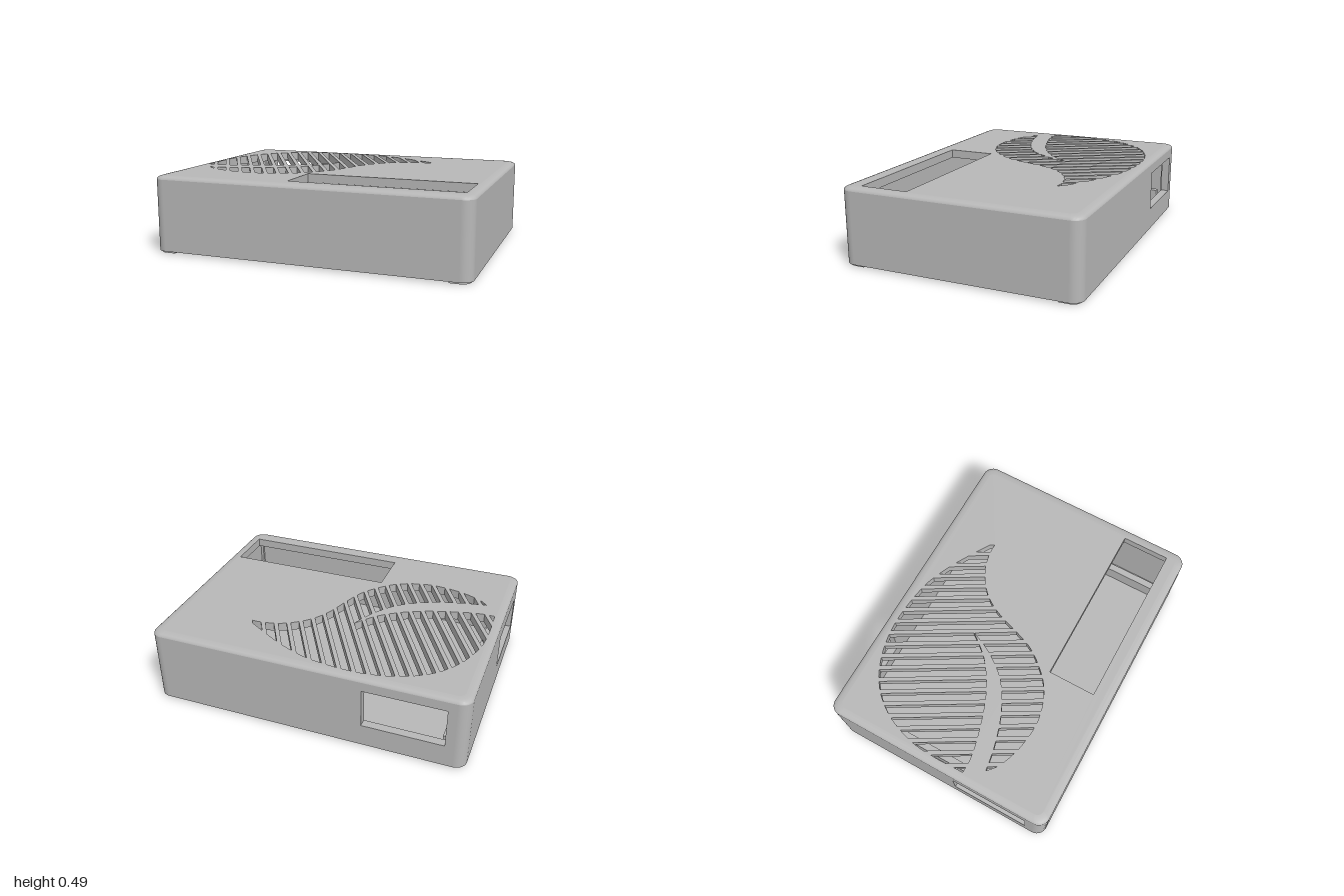
import * as THREE from 'three';
import { toCreasedNormals } from 'three/addons/utils/BufferGeometryUtils.js';

const W = 1, D = 0.75, R = 0.07, WALL = 0.053;   // half width, half depth, corner radius, wall thickness
const Y0 = 0.012, YW = 0.465, YT = 0.487;        // underside, wall top, lid top

export function createModel() {
  const group = new THREE.Group();
  const grey = new THREE.MeshStandardMaterial({ color: 0xb8b8b8 });
  grey.name = 'grey plastic';

  const add = (name, geometry) => {
    const mesh = new THREE.Mesh(toCreasedNormals(geometry, 0.6), grey);
    mesh.name = name;
    group.add(mesh);
    return mesh;
  };

  // Plan shapes use (x, -z); a slab stands them between two heights
  const slab = (shape, y0, y1) => new THREE.ExtrudeGeometry(shape,
    { depth: y1 - y0, bevelEnabled: false, curveSegments: 10 }).rotateX(-Math.PI / 2).translate(0, y0, 0);

  const rect = (x0, y0, x1, y1, Type = THREE.Path) => new Type([
    [x0, y0], [x1, y0], [x1, y1], [x0, y1]].map(p => new THREE.Vector2(...p)));

  // Rounded outline, pulled in by an inset
  const outline = (inset) => {
    const pts = [], r = Math.max(R - inset * 0.6, 0.02);
    const w = W - inset - r, d = D - inset - r;
    [[1, 1], [-1, 1], [-1, -1], [1, -1]].forEach(([sx, sy], q) => {
      for (let i = 0; i <= 10; i++) {
        const a = (q + i / 10) * Math.PI / 2;
        pts.push(new THREE.Vector2(sx * w + r * Math.cos(a), sy * d + r * Math.sin(a)));
      }
    });
    return pts;
  };

  // Leaf vent: two blades either side of a tapering midrib
  const curve = (pts) => new THREE.SplineCurve(pts.map(p => new THREE.Vector2(...p))).getPoints(36);
  const ribTip = [-0.13, 0.227], notch = [0.005, 0.0];
  const upperBlade = [
    ...curve([[-0.941, -0.17], [-0.945, 0.05], [-0.925, 0.22], [-0.85, 0.41], [-0.72, 0.56],
      [-0.53, 0.655], [-0.3, 0.692], [-0.02, 0.665], [0.17, 0.596], [0.34, 0.505], [0.515, 0.398]]),
    ...curve([[0.515, 0.398], [0.43, 0.408], [0.3, 0.382], [0.19, 0.318], [0.11, 0.238], [0.05, 0.13], notch]).slice(1),
    ...curve([ribTip, [-0.18, 0.16], [-0.26, 0.072], [-0.39, -0.018], [-0.53, -0.083],
      [-0.72, -0.142], [-0.85, -0.169], [-0.941, -0.17]]).slice(0, -1),
  ];
  const lowerBlade = [
    ...curve([[-0.866, -0.286], [-0.72, -0.26], [-0.556, -0.211], [-0.42, -0.147], [-0.315, -0.072],
      [-0.235, 0.024], [-0.18, 0.115], ribTip]),
    ...curve([notch, [-0.05, -0.137], [-0.128, -0.243], [-0.235, -0.34], [-0.37, -0.398],
      [-0.5, -0.414], [-0.66, -0.393], [-0.8, -0.34], [-0.866, -0.286]]).slice(0, -1),
  ];

  // Keep the part of a polygon where n.p >= c
  const clip = (poly, nx, ny, c) => {
    const out = [];
    poly.forEach((p, i) => {
      const q = poly[(i + 1) % poly.length];
      const a = p.x * nx + p.y * ny - c, b = q.x * nx + q.y * ny - c;
      if (a >= 0) out.push(p);
      if ((a > 0 && b < 0) || (a < 0 && b > 0)) out.push(p.clone().lerp(q, a / (a - b)));
    });
    return out;
  };

  // Lid plate with slanted louvre slots and the display slot
  const lid = new THREE.Shape(outline(0.05));
  const nx = Math.sqrt(3) / 2, ny = 0.5, period = 0.078, bar = 0.026;
  const start = ribTip[0] * nx + ribTip[1] * ny;
  for (let k = -13; k < 13; k++) {
    const c0 = start + k * period + bar / 2, c1 = start + (k + 1) * period - bar / 2;
    for (const blade of [upperBlade, lowerBlade]) {
      const slot = clip(clip(blade, nx, ny, c0), -nx, -ny, -c1);
      if (slot.length > 2 && Math.abs(THREE.ShapeUtils.area(slot)) > 4e-4) lid.holes.push(new THREE.Path(slot));
    }
  }
  lid.holes.push(rect(-0.135, -0.635, 0.936, -0.33));
  add('lid', slab(lid, YT - 0.055, YT));

  // Softly rounded rim between walls and lid
  const profile = [[0, YW], [0.003, 0.473], [0.012, 0.48], [0.028, 0.485], [0.05, YT]];
  const pos = [], idx = [];
  profile.forEach(([inset, y]) => outline(inset).forEach(p => pos.push(p.x, y, -p.y)));
  const n = pos.length / 3 / profile.length;
  for (let j = 0; j < profile.length - 1; j++) {
    for (let i = 0; i < n; i++) {
      const a = j * n + i, b = j * n + (i + 1) % n;
      idx.push(a, b, b + n, a, b + n, a + n);
    }
  }
  const rim = new THREE.BufferGeometry();
  rim.setAttribute('position', new THREE.Float32BufferAttribute(pos, 3));
  rim.setIndex(idx);
  add('topRim', rim);

  // Flat walls, two of them with a connector opening
  const wall = (half, hole) => {
    const s = rect(-half, Y0, half, YW, THREE.Shape);
    if (hole) s.holes.push(rect(...hole));
    return new THREE.ExtrudeGeometry(s, { depth: WALL, bevelEnabled: false });
  };
  add('frontWall', wall(W - R).translate(0, 0, D - WALL));
  add('backWall', wall(W - R, [-0.875, 0.155, -0.375, 0.405]).translate(0, 0, -D));
  add('leftWall', wall(D - R).rotateY(Math.PI / 2).translate(W - WALL, 0, 0));
  add('rightWall', wall(D - R, [-0.625, 0.15, -0.125, 0.365]).rotateY(Math.PI / 2).translate(-W, 0, 0));

  // Rounded corner posts and feet
  const cornerPoints = (sx, sy, x0, y0, inset) => {
    const pts = [], r = R - inset;
    for (let i = 0; i <= 10; i++) {
      const a = i / 10 * Math.PI / 2;
      pts.push([W - R + r * Math.cos(a), D - R + r * Math.sin(a)]);
    }
    pts.push([x0, D - inset], [x0, y0], [W - inset, y0]);
    return new THREE.Shape(pts.map(([x, y]) => new THREE.Vector2(sx * x, sy * y)));
  };
  for (const sx of [-1, 1]) {
    for (const sy of [-1, 1]) {
      add('cornerPost', slab(cornerPoints(sx, sy, W - R - 0.001, D - R - 0.001, 0), Y0, YW));
      add('foot', slab(cornerPoints(sx, sy, 0.87, 0.62, 0.015), 0, Y0 + 0.002));
    }
    // Upright ledge inside each end
    add('innerLedge', new THREE.BoxGeometry(0.045, 0.11, 1.34).translate(sx * 0.868, 0.1, 0));
  }

  // Base plate
  add('base', slab(new THREE.Shape(outline(0.05)), Y0, 0.05));

  return group;
}
